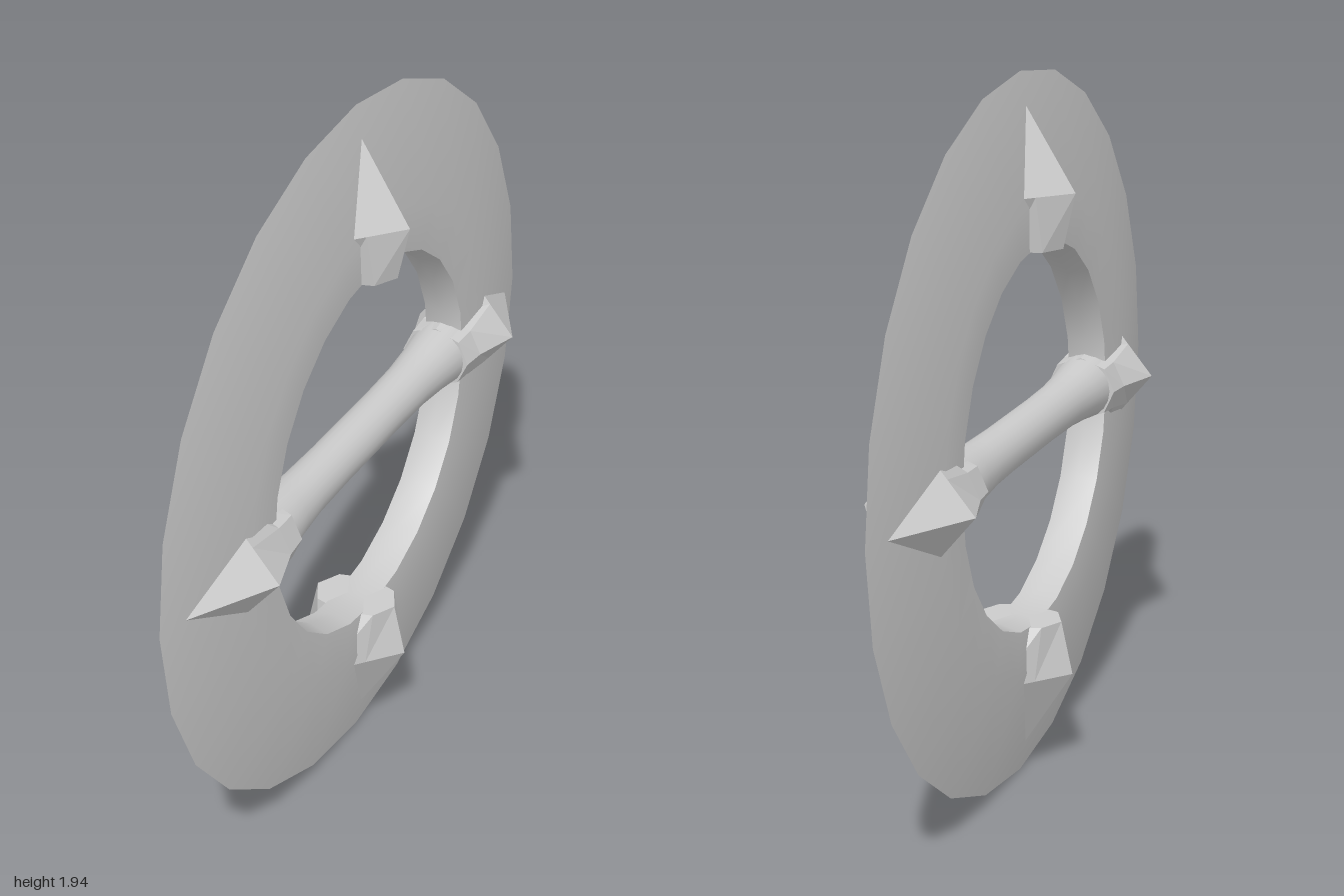
import * as THREE from 'three';
import { toCreasedNormals } from 'three/addons/utils/BufferGeometryUtils.js';

const CENTER_Y = 0.972;

// Lofts eight-point sections [height, half x, half z, corner] along +y.
// corner 0.5 gives a diamond, 0.71 an ellipse.
function loft(sections) {
  const pos = [], index = [], n = 8;
  for (const [y, a, b, corner] of sections) {
    for (let i = 0; i < n; i++) {
      const t = (i / n) * Math.PI * 2;
      const k = i % 2 ? corner / Math.SQRT1_2 : 1;
      pos.push(a * k * Math.cos(t), y, b * k * Math.sin(t));
    }
  }
  for (let j = 0; j < sections.length - 1; j++) {
    for (let i = 0; i < n; i++) {
      const p = j * n + i, q = j * n + (i + 1) % n;
      index.push(p, p + n, q, q, p + n, q + n);
    }
  }
  for (let i = 1; i < n - 1; i++) index.push(0, i, i + 1); // base cap
  const geo = new THREE.BufferGeometry();
  geo.setAttribute('position', new THREE.Float32BufferAttribute(pos, 3));
  geo.setIndex(index);
  geo.computeVertexNormals();
  return geo;
}

export function createModel() {
  const group = new THREE.Group();
  const smooth = new THREE.MeshStandardMaterial({ color: 0xcccccc });
  const faceted = new THREE.MeshStandardMaterial({ color: 0xcccccc, flatShading: true });

  const add = (name, geo, mat) => {
    const mesh = new THREE.Mesh(geo, mat);
    mesh.name = name;
    mesh.position.y = CENTER_Y;
    group.add(mesh);
    return mesh;
  };
  const profile = (pts) => pts.map(([r, h]) => new THREE.Vector2(r, h));

  // Ring blade: thick inner rim tapering to a sharp outer edge
  const ring = new THREE.LatheGeometry(profile([
    [0.525, 0], [0.54, -0.055], [0.67, -0.06], [1, 0],
    [0.67, 0.06], [0.54, 0.055], [0.525, 0],
  ]), 24);
  ring.rotateZ(Math.PI / 2);
  ring.scale(1, CENTER_Y, 1);
  add('bladeRing', toCreasedNormals(ring, 0.6), smooth);

  // Handle across the opening, flared at both ends
  const half = [[0.065, 0], [0.065, 0.15], [0.068, 0.3], [0.076, 0.4], [0.088, 0.49], [0.092, 0.56]];
  const handle = new THREE.LatheGeometry(profile([
    ...half.slice(1).reverse().map(([r, h]) => [r, -h]), ...half,
  ]), 20);
  handle.rotateX(Math.PI / 2);
  add('handle', handle, smooth);

  // Four spikes pointing outwards; those holding the handle have a collar
  const plainSpike = loft([
    [0.517, 0.12, 0.09, 0.72], [0.665, 0.153, 0.178, 0.5], [0.91, 0, 0, 0.5],
  ]);
  const collaredSpike = loft([
    [0.48, 0.1, 0.09, 0.71], [0.55, 0.107, 0.098, 0.69],
    [0.68, 0.147, 0.178, 0.5], [0.937, 0, 0, 0.5],
  ]);
  ['topSpike', 'frontSpike', 'bottomSpike', 'backSpike'].forEach((name, i) => {
    const spike = add(name, i % 2 ? collaredSpike : plainSpike, faceted);
    spike.rotation.x = (i * Math.PI) / 2;
  });

  return group;
}
